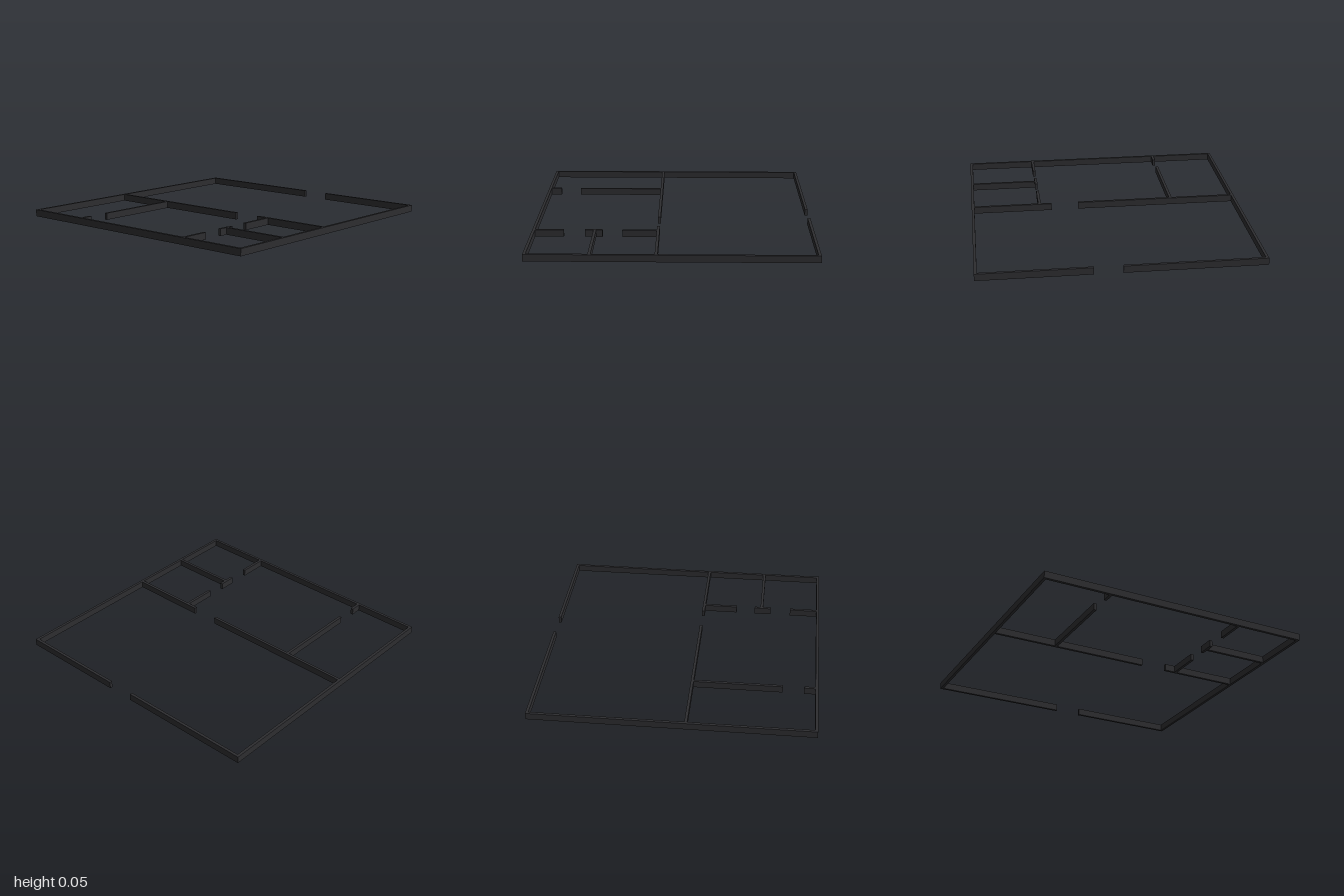
import * as THREE from 'three';

const HEIGHT = 0.05;
const T = 0.02; // wall thickness

export function createModel() {
  const model = new THREE.Group();
  model.name = 'floorPlanWalls';
  const material = new THREE.MeshStandardMaterial({ color: 0x2d2d30 });

  // One wall filling the plan rectangle x0..x1, z0..z1
  function wall(parent, name, x0, x1, z0, z1) {
    const mesh = new THREE.Mesh(new THREE.BoxGeometry(x1 - x0, HEIGHT, z1 - z0), material);
    mesh.position.set((x0 + x1) / 2, HEIGHT / 2, (z0 + z1) / 2);
    mesh.name = name;
    parent.add(mesh);
  }

  // A row of wall pieces separated by door openings
  function wallRow(name, axis, start, spans) {
    const row = new THREE.Group();
    row.name = name;
    spans.forEach(([a, b], i) => {
      const rect = axis === 'x' ? [a, b, start, start + T] : [start, start + T, a, b];
      wall(row, `${name}Section${i + 1}`, ...rect);
    });
    model.add(row);
  }

  const inner = 1 - T; // inside face of the outer walls
  const hall = 0.095; // back face of the dividing wall

  // Outer walls, with the entrance in the back
  wallRow('leftOuterWall', 'z', inner, [[-1, 1]]);
  wallRow('rightOuterWall', 'z', -1, [[-1, 1]]);
  wallRow('frontOuterWall', 'x', inner, [[-inner, inner]]);
  wallRow('backOuterWall', 'x', -1, [[-inner, 0], [0.2, inner]]);

  // Inner walls with doorways
  wallRow('dividingWall', 'x', hall, [[-inner, 0.2], [0.4, inner]]);
  wallRow('rightRoomWall', 'z', -0.52, [[hall + T, 0.75], [0.9, inner]]);
  wallRow('leftRoomsWall', 'z', 0.48, [[hall + T, 0.36], [0.5, 0.625], [0.775, inner]]);
  wallRow('leftRoomsPartition', 'x', 0.545, [[0.5, inner]]);

  return model;
}
